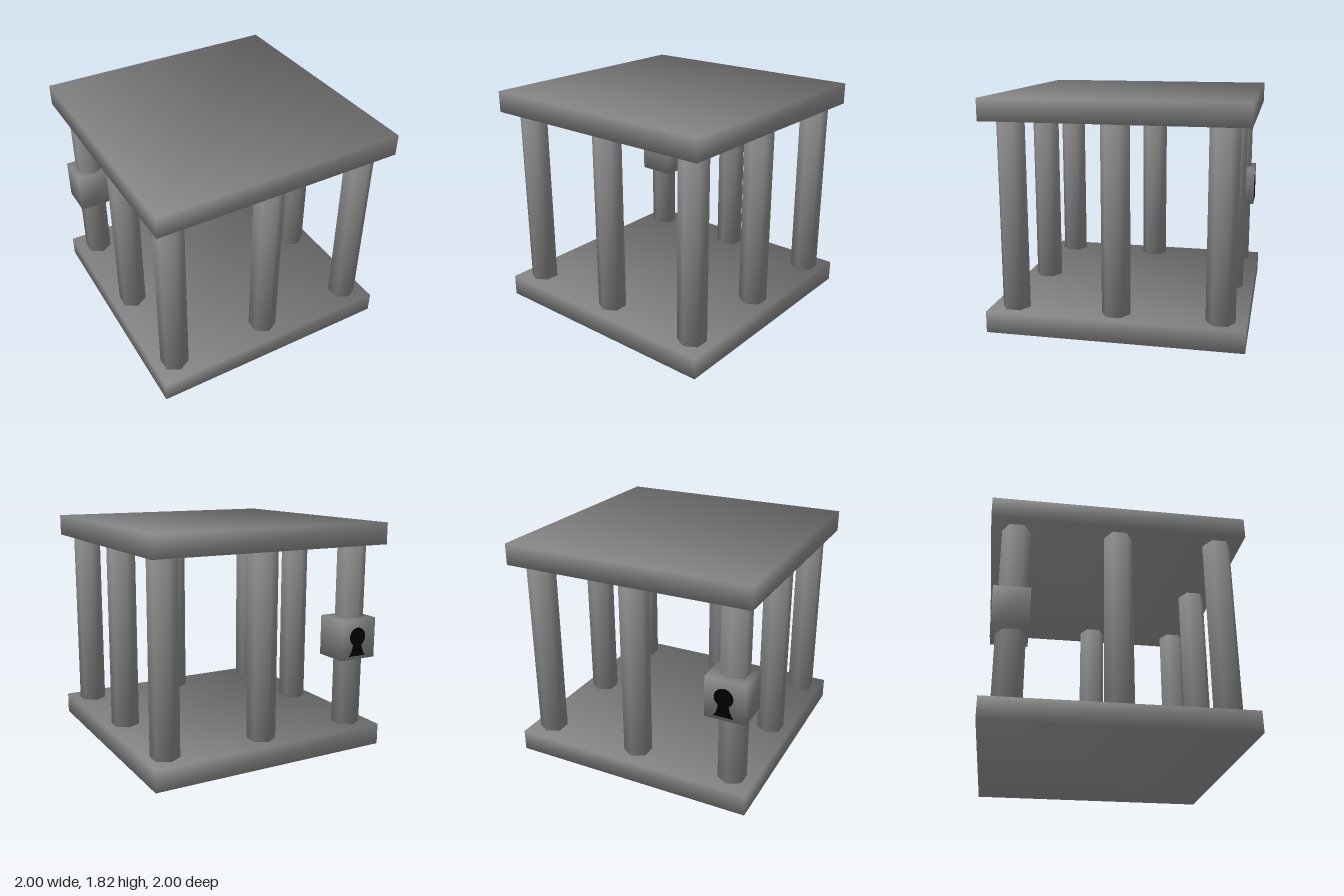
import * as THREE from 'three';

const grey = new THREE.MeshStandardMaterial({ color: 0x888888 });
grey.name = 'grey metal';
const black = new THREE.MeshStandardMaterial({ color: 0x000000 });
black.name = 'keyhole black';

// Replace the normals by a rule, so shading runs smoothly round the edges.
function softNormals(geometry, rule) {
  const p = geometry.attributes.position;
  const n = new THREE.Vector3();
  for (let i = 0; i < p.count; i++) {
    rule(n.fromBufferAttribute(p, i)).normalize();
    geometry.attributes.normal.setXYZ(i, n.x, n.y, n.z);
  }
  return geometry;
}

const softBox = (w, h, d) => softNormals(new THREE.BoxGeometry(w, h, d),
  v => v.set(Math.sign(v.x), Math.sign(v.y), Math.sign(v.z)));

function add(parent, name, geometry, material, x, y, z) {
  const mesh = new THREE.Mesh(geometry, material);
  mesh.name = name;
  mesh.position.set(x, y, z);
  parent.add(mesh);
  return mesh;
}

export function createModel() {
  const cage = new THREE.Group();
  cage.name = 'cage';

  // Floor and roof slabs
  const slab = softBox(2, 0.17, 2);
  add(cage, 'floor', slab, grey, 0, 0.085, 0);
  add(cage, 'roof', slab, grey, 0, 1.735, 0);

  // Eight hexagonal bars round the edge, corners pointing along z
  const bar = softNormals(new THREE.CylinderGeometry(0.113, 0.113, 1.49, 6),
    v => v.set(v.x, Math.sign(v.y) * 0.05, v.z));
  for (const i of [-1, 0, 1]) {
    for (const k of [-1, 0, 1]) {
      if (i === 0 && k === 0) continue;
      const shift = k < 0 ? 0.01 : 0;
      add(cage, 'bar', bar, grey, i * 0.825 + shift, 0.91, k * 0.805 + 0.003);
    }
  }

  // Lock block round the back corner bar
  const lock = new THREE.Group();
  lock.name = 'lock';
  lock.position.set(-0.8, 0.9, -0.81);
  cage.add(lock);
  add(lock, 'lockBody', softBox(0.325, 0.325, 0.28), grey, 0, 0, 0);

  // Keyhole: round head, narrow waist and flared foot
  const hole = new THREE.Shape();
  hole.moveTo(-0.078, -0.135);
  hole.lineTo(0.078, -0.135);
  hole.quadraticCurveTo(0.045, -0.09, 0.042, -0.042);
  hole.absarc(0, 0.02, 0.075, -0.97, Math.PI + 0.97, false);
  hole.quadraticCurveTo(-0.045, -0.09, -0.078, -0.135);
  const plate = new THREE.ExtrudeGeometry(hole, { depth: 0.005, bevelEnabled: false, curveSegments: 10 });
  add(lock, 'keyhole', plate, black, 0.01, 0, -0.139).rotation.y = Math.PI;

  return cage;
}
